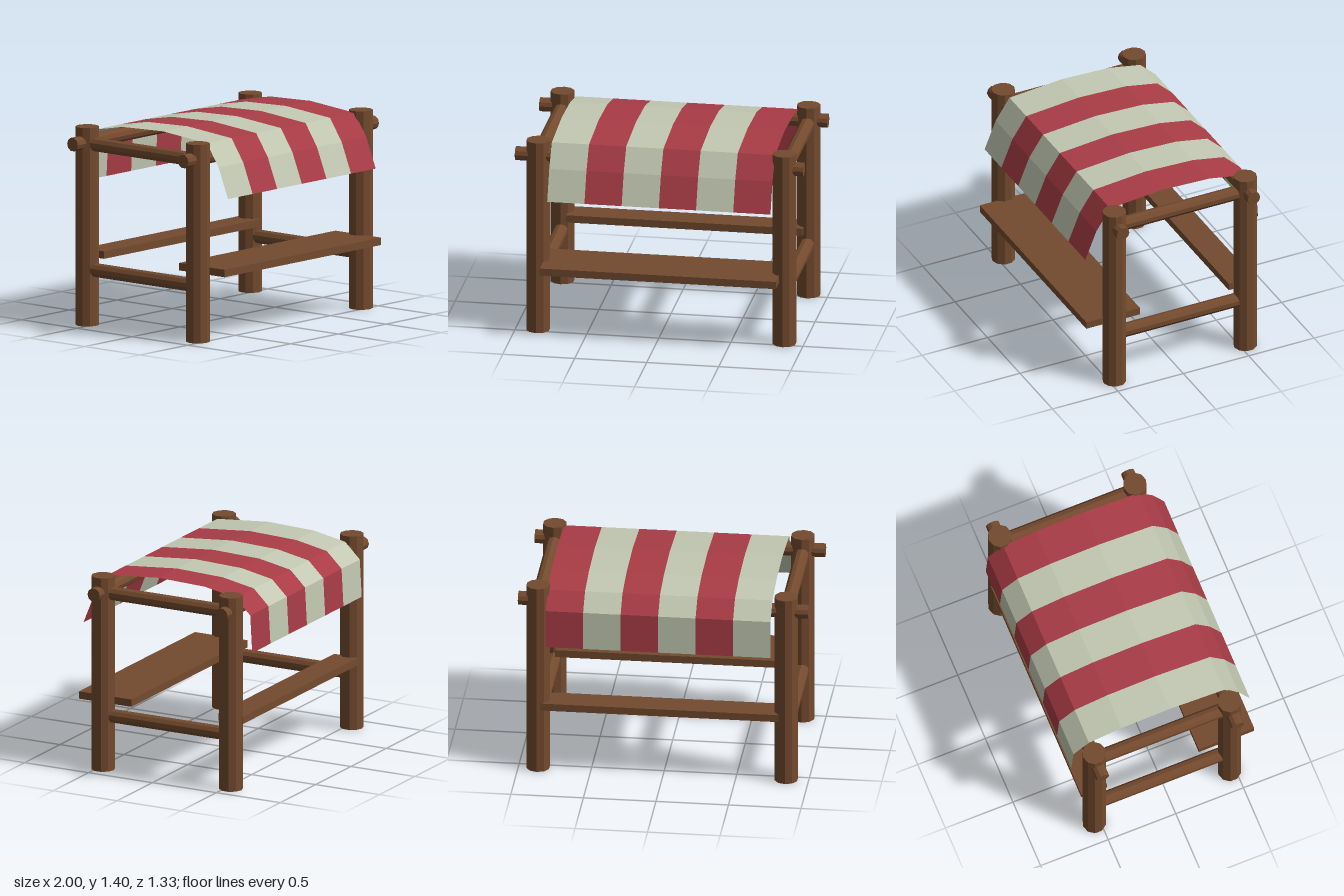
import * as THREE from 'three';

const material = (color, side = THREE.FrontSide) =>
  new THREE.MeshStandardMaterial({ color, side, flatShading: true });

// One stripe of cloth: a [z, y] profile swept from x0 to x1
function stripGeometry(profile, x0, x1) {
  const positions = [], index = [];
  profile.forEach(([z, y], i) => {
    positions.push(x0, y, z, x1, y, z);
    if (i > 0) {
      const a = 2 * (i - 1);
      index.push(a, a + 2, a + 1, a + 1, a + 2, a + 3);
    }
  });
  const geometry = new THREE.BufferGeometry();
  geometry.setAttribute('position', new THREE.Float32BufferAttribute(positions, 3));
  geometry.setIndex(index);
  const flat = geometry.toNonIndexed();
  flat.computeVertexNormals();
  return flat;
}

export function createModel() {
  const model = new THREE.Group();
  model.name = 'marketStall';
  const wood = material(0x744a2e);
  const red = material(0xa93c46, THREE.DoubleSide);
  const pale = material(0xc2c8b2, THREE.DoubleSide);

  const add = (name, geometry, mat, x = 0, y = 0, z = 0) => {
    const mesh = new THREE.Mesh(geometry, mat);
    mesh.name = name;
    mesh.position.set(x, y, z);
    model.add(mesh);
    return mesh;
  };
  const pole = (radius, length) => new THREE.CylinderGeometry(radius, radius, length, 10);

  const sides = [['right', -0.845], ['left', 0.865]];
  const ends = [['Front', 0.46], ['Back', -0.54]];

  for (const [side, x] of sides) {
    // Corner posts
    for (const [end, z] of ends) add(`${side}${end}Post`, pole(0.082, 1.38), wood, x, 0.69, z);
    // Side rails between the posts
    for (const [level, y] of [['Lower', 0.388], ['Upper', 1.262]])
      add(`${side}${level}Rail`, pole(0.049, 0.88).rotateX(Math.PI / 2), wood, x, y, -0.04);
  }

  // Long beams that carry the cloth
  for (const [end, z] of ends)
    add(`canopy${end}Beam`, pole(0.048, 2).rotateZ(Math.PI / 2), wood, 0, 1.273, z);

  // Counter board and narrow back shelf
  add('counterBoard', new THREE.BoxGeometry(1.64, 0.052, 0.41), wood, 0.02, 0.49, 0.457);
  add('backShelf', new THREE.BoxGeometry(1.64, 0.052, 0.19), wood, 0.02, 0.49, -0.522);

  // Striped cloth draped over the beams, back to front
  const drape = [
    [-0.67, 0.97], [-0.655, 1.235], [-0.54, 1.345], [-0.3, 1.39],
    [0.06, 1.402], [0.46, 1.366], [0.565, 1.21], [0.65, 1.0],
  ];
  const stripes = 6, startX = -0.75, width = 1.55 / stripes;
  for (let i = 0; i < stripes; i++) {
    const x = startX + i * width;
    add(`canopyStripe${i + 1}`, stripGeometry(drape, x, x + width), i % 2 ? red : pale);
  }

  return model;
}
